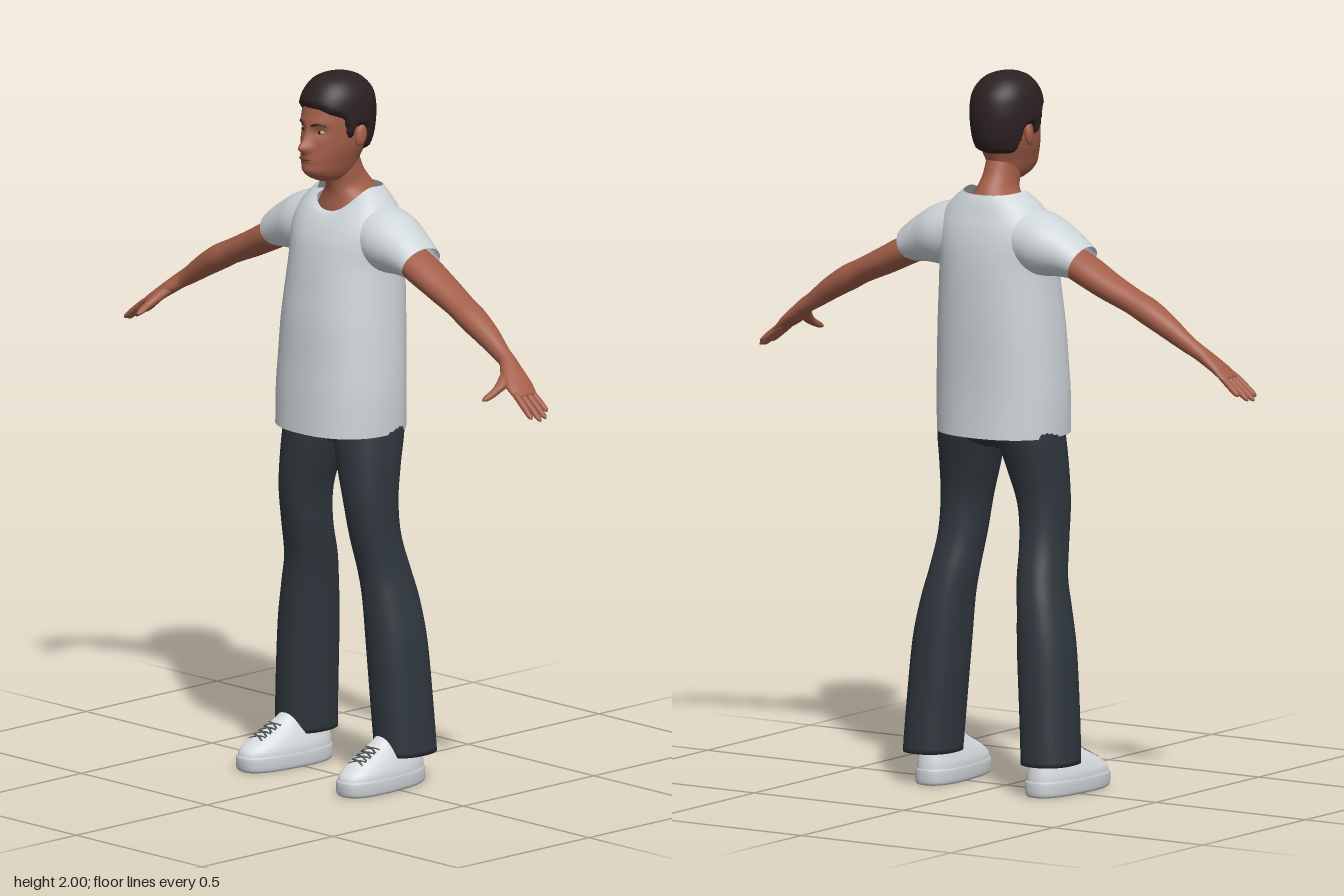
import * as THREE from 'three';

const paint = (name, color, side = THREE.FrontSide) => {
  const m = new THREE.MeshStandardMaterial({ color, side });
  m.name = name;
  return m;
};

// Catmull-Rom blend of numeric rows, so a few rows give a smooth profile
const blend = (p, q, r, s, t) => {
  const a = r - p, b = 2 * p - 5 * q + 4 * r - s, c = 3 * (q - r) + s - p;
  return q + 0.5 * t * (a + t * (b + t * c));
};
function smooth(rows, steps) {
  const out = [], last = rows.length - 1;
  for (let i = 0; i < last; i++) {
    const [p, q, r, s] = [i - 1, i, i + 1, i + 2].map(k => rows[Math.min(last, Math.max(0, k))]);
    for (let k = 0; k < steps; k++) out.push(q.map((v, c) => blend(p[c], v, r[c], s[c], k / steps)));
  }
  out.push(rows[last]);
  return out;
}

// Skin over closed rings; ring(row, cos, sin, index) returns a point
function loft(rows, n, e, ring, caps = true) {
  const pos = [], idx = [], pw = v => Math.sign(v) * Math.abs(v) ** (2 / e);
  rows.forEach((row, i) => {
    for (let j = 0; j < n; j++) {
      const t = (j / n) * Math.PI * 2;
      pos.push(...ring(row, pw(Math.cos(t)), pw(Math.sin(t)), i));
    }
  });
  for (let i = 0; i < rows.length - 1; i++) for (let j = 0; j < n; j++) {
    const a = i * n + j, b = i * n + (j + 1) % n;
    idx.push(a, a + n, b, b, a + n, b + n);
  }
  const cap = (start, top) => {
    const c = pos.length / 3, mid = [0, 0, 0];
    for (let j = 0; j < n * 3; j++) mid[j % 3] += pos[start * 3 + j] / n;
    pos.push(...mid);
    for (let j = 0; j < n; j++) {
      const a = start + j, b = start + (j + 1) % n;
      idx.push(c, top ? b : a, top ? a : b);
    }
  };
  if (caps) {
    cap(0, false);
    cap((rows.length - 1) * n, true);
  }
  const g = new THREE.BufferGeometry();
  g.setAttribute('position', new THREE.Float32BufferAttribute(pos, 3));
  g.setIndex(idx);
  g.computeVertexNormals();
  return g;
}

// Upright form from rows [y, centre x, half width, front z, back z]
const upright = (rows, n = 32, e = 2, steps = 5) =>
  loft(smooth(rows, steps), n, e, ([y, x, w, f, b], c, s) => [x + w * c, y, (f + b) / 2 + (f - b) / 2 * s]);

// Limb from rows [x, y, z, half height, half depth]
function limb(rows, n, caps = true) {
  const r = smooth(rows, 5), up = new THREE.Vector3(0, 1, 0);
  const at = k => new THREE.Vector3(...r[Math.max(0, Math.min(r.length - 1, k))].slice(0, 3));
  return loft(r, n, 2, (row, c, s, i) => {
    const T = at(i + 1).sub(at(i - 1)).normalize();
    const S = T.clone().cross(up).normalize(), N = S.clone().cross(T);
    return at(i).addScaledVector(N, row[3] * c).addScaledVector(S, -row[4] * s).toArray();
  }, caps);
}

function mirrored(g) {
  const m = g.clone().scale(-1, 1, 1), ix = m.index;
  for (let i = 0; i < ix.count; i += 3) {
    const a = ix.getX(i);
    ix.setX(i, ix.getX(i + 1));
    ix.setX(i + 1, a);
  }
  m.computeVertexNormals();
  return m;
}

const tube = (pts, r) => new THREE.TubeGeometry(new THREE.CatmullRomCurve3(pts.map(p => new THREE.Vector3(...p))), 12, r, 6);
const blob = (x, y, z, a, b, c) => new THREE.SphereGeometry(1, 20, 14).scale(a, b, c).translate(x, y, z);

export function createModel() {
  const model = new THREE.Group();
  const skin = paint('skin', 0xa35e49), hair = paint('hair', 0x2c2122), lip = paint('lips', 0x84453a);
  const cloth = paint('shirt cloth', 0xced5d9, THREE.DoubleSide), denim = paint('trouser cloth', 0x2f373d);
  const white = paint('shoe white', 0xd9dcde), sole = paint('sole', 0xcbd0d3), lace = paint('laces', 0x54585b);
  const eye = paint('eye white', 0xb5a49a), dark = paint('iris', 0x1f1817);
  const add = (name, g, m) => {
    const mesh = new THREE.Mesh(g, m);
    mesh.name = name;
    model.add(mesh);
  };
  const pair = (name, g, m) => {
    add('left' + name, g, m);
    add('right' + name, mirrored(g), m);
  };

  // Head, with the features pushed out or in by soft bumps [x, y, spread x, spread y, amount]
  const head = upright([
    [1.70, 0, 0.028, 0.07, -0.02], [1.715, 0, 0.042, 0.102, -0.045], [1.735, 0, 0.052, 0.12, -0.06],
    [1.76, 0, 0.06, 0.122, -0.07], [1.79, 0, 0.07, 0.12, -0.085], [1.82, 0, 0.076, 0.117, -0.098],
    [1.86, 0, 0.08, 0.114, -0.104], [1.90, 0, 0.081, 0.108, -0.104], [1.94, 0, 0.075, 0.094, -0.094],
    [1.97, 0, 0.055, 0.068, -0.066], [1.983, 0, 0.03, 0.04, -0.036], [1.987, 0, 0.006, 0.014, -0.004]], 96, 2.1, 6);
  const bumps = [[0, 1.803, 0.012, 0.013, 0.026], [0, 1.832, 0.009, 0.02, 0.011], [0, 1.772, 0.02, 0.009, 0.006],
    [0, 1.737, 0.018, 0.01, 0.004]];
  for (const s of [-1, 1]) bumps.push([s * 0.033, 1.848, 0.015, 0.01, -0.009], [s * 0.03, 1.872, 0.018, 0.009, 0.004],
    [s * 0.015, 1.8, 0.006, 0.007, 0.005]);
  const hp = head.attributes.position;
  for (let i = 0; i < hp.count; i++) {
    if (hp.getZ(i) < 0.04) continue;
    let z = hp.getZ(i);
    for (const [x, y, sx, sy, a] of bumps) {
      const dx = (hp.getX(i) - x) / sx, dy = (hp.getY(i) - y) / sy;
      z += a * Math.exp(-(dx * dx + dy * dy) / 2);
    }
    hp.setZ(i, z);
  }
  head.computeVertexNormals();
  add('head', head, skin);

  // Short hair: the head surface raised above the hairline [z, y] and sunk below it
  const line = [[-0.2, 1.775], [-0.045, 1.78], [-0.03, 1.85], [0.01, 1.86], [0.02, 1.825], [0.035, 1.83],
    [0.047, 1.885], [0.085, 1.9], [0.1, 1.912], [0.2, 1.92]];
  const cap = head.clone(), cp = cap.attributes.position, cn = cap.attributes.normal;
  for (let i = 0; i < cp.count; i++) {
    const z = cp.getZ(i), k = line.findIndex(p => p[0] > z), a = line[k - 1], b = line[k];
    const edge = a[1] + (b[1] - a[1]) * (z - a[0]) / (b[0] - a[0]);
    const d = 0.012 * THREE.MathUtils.clamp((cp.getY(i) - edge) / 0.014, -1, 1);
    cp.setXYZ(i, cp.getX(i) + cn.getX(i) * d, cp.getY(i) + cn.getY(i) * d, z + cn.getZ(i) * d);
  }
  cap.computeVertexNormals();
  add('hair', cap, hair);

  // Face details and ears
  pair('Eye', blob(0.033, 1.847, 0.095, 0.013, 0.0055, 0.007), eye);
  pair('Iris', blob(0.032, 1.847, 0.0995, 0.0055, 0.005, 0.004), dark);
  pair('Brow', tube([[0.014, 1.865, 0.115], [0.033, 1.871, 0.108], [0.052, 1.866, 0.092]], 0.0032), hair);
  add('lips', blob(0, 1.772, 0.125, 0.022, 0.006, 0.0065), lip);
  pair('Ear', blob(0, 0, 0, 0.011, 0.031, 0.018).rotateY(-0.25).rotateX(-0.15).translate(0.082, 1.83, -0.01), skin);

  // Neck widening into the upper chest
  add('neck', upright([[1.56, 0, 0.13, 0.035, -0.13], [1.61, 0, 0.105, 0.03, -0.13], [1.65, 0, 0.08, 0.024, -0.128],
    [1.68, 0, 0.053, 0.03, -0.115], [1.72, 0, 0.046, 0.045, -0.085], [1.78, 0, 0.046, 0.05, -0.06]]), skin);

  // Shirt body with a scooped collar: [y, half width, front, back, front drop]
  const body = smooth([[0.995, 0.186, 0.148, -0.172, 0], [1.1, 0.188, 0.143, -0.17, 0], [1.2, 0.184, 0.136, -0.172, 0],
    [1.3, 0.178, 0.13, -0.176, 0], [1.4, 0.17, 0.117, -0.178, 0], [1.47, 0.166, 0.106, -0.178, 0],
    [1.53, 0.17, 0.094, -0.174, 0.005], [1.58, 0.168, 0.08, -0.165, 0.02], [1.62, 0.15, 0.066, -0.153, 0.035],
    [1.655, 0.118, 0.052, -0.142, 0.052], [1.678, 0.09, 0.038, -0.132, 0.068]], 5);
  add('shirtBody', loft(body, 56, 2.3, ([y, w, f, b, d], c, s) =>
    [w * c, y - d * Math.max(0, s) ** 2 - d * 0.12 * Math.max(0, -s), (f + b) / 2 + (f - b) / 2 * s], false), cloth);
  pair('Sleeve', limb([[0.07, 1.56, -0.05, 0.085, 0.09], [0.16, 1.537, -0.05, 0.088, 0.096],
    [0.23, 1.517, -0.047, 0.069, 0.08], [0.285, 1.495, -0.045, 0.05, 0.068]], 32, false), cloth);

  // Arm running into the palm
  pair('Arm', limb([[0.22, 1.512, -0.045, 0.043, 0.055], [0.3, 1.475, -0.045, 0.042, 0.058],
    [0.37, 1.44, -0.045, 0.039, 0.052], [0.45, 1.403, -0.04, 0.035, 0.044], [0.5, 1.378, -0.036, 0.036, 0.044],
    [0.56, 1.343, -0.034, 0.032, 0.036], [0.62, 1.303, -0.03, 0.025, 0.025], [0.65, 1.285, -0.026, 0.022, 0.025],
    [0.68, 1.262, -0.014, 0.02, 0.034], [0.72, 1.232, -0.003, 0.016, 0.042], [0.752, 1.207, 0, 0.01, 0.039]], 28), skin);

  // Fingers [knuckle z, tip z, reach] and thumb
  const fingers = [[0.029, 0.036, 0.92], [0.01, 0.012, 1.05], [-0.01, -0.012, 1], [-0.028, -0.034, 0.78]];
  fingers.forEach(([z0, z1, k], i) => {
    const p = t => [0.738 + 0.078 * t * k, 1.218 - 0.062 * t * k, z0 + (z1 - z0) * t];
    pair('Finger' + (i + 1), limb([[...p(0), 0.009, 0.01], [...p(0.5), 0.009, 0.0095],
      [...p(0.88), 0.007, 0.008], [...p(1), 0.002, 0.003]], 12), skin);
  });
  pair('Thumb', limb([[0.665, 1.268, -0.012, 0.014, 0.014], [0.685, 1.242, 0.025, 0.014, 0.018], [0.69, 1.222, 0.06, 0.011, 0.012],
    [0.688, 1.208, 0.092, 0.008, 0.01], [0.686, 1.203, 0.106, 0.002, 0.003]], 14), skin);

  // Trousers: seat, and flared legs as [y, inner x, outer x, front z, back z]
  add('trouserSeat', upright([[0.955, 0, 0.07, 0.03, -0.07], [0.98, 0, 0.15, 0.066, -0.115],
    [1.03, 0, 0.18, 0.075, -0.127], [1.15, 0, 0.165, 0.08, -0.13]], 36, 2.4), denim);
  const legRows = [[0.09, 0.122, 0.272, 0.018, -0.16], [0.2, 0.115, 0.266, 0.024, -0.155], [0.4, 0.1, 0.25, 0.03, -0.145],
    [0.52, 0.093, 0.228, 0.033, -0.132], [0.6, 0.083, 0.21, 0.038, -0.115], [0.7, 0.074, 0.198, 0.06, -0.088],
    [0.8, 0.062, 0.195, 0.075, -0.082], [0.9, 0.034, 0.192, 0.078, -0.1], [1.0, 0.008, 0.186, 0.075, -0.125],
    [1.08, 0, 0.17, 0.07, -0.125]];
  pair('TrouserLeg', upright(legRows.map(([y, a, b, f, k]) => [y, (a + b) / 2, (b - a) / 2, f, k]), 36, 2.3), denim);

  // Shoes, turned out slightly
  const place = g => g.rotateY(0.07).translate(0.19, 0, 0);
  pair('ShoeSole', place(upright([[0, 0, 0.058, 0.168, -0.132], [0.008, 0, 0.064, 0.176, -0.138],
    [0.038, 0, 0.064, 0.178, -0.138], [0.045, 0, 0.06, 0.172, -0.135]], 40, 2.6, 3)), sole);
  pair('ShoeUpper', place(upright([[0.04, 0, 0.062, 0.174, -0.135], [0.06, 0, 0.061, 0.166, -0.134],
    [0.085, 0, 0.054, 0.13, -0.13], [0.11, 0, 0.045, 0.078, -0.125], [0.13, 0, 0.038, 0.045, -0.115],
    [0.147, 0, 0.03, 0.02, -0.1]], 40, 2.5)), white);

  // Crossed laces over the instep
  const instep = z => 0.148 - 0.49 * z;
  for (let i = 0; i < 4; i++) for (const s of [-1, 1]) {
    const z = 0.052 + i * 0.018;
    const path = [[-0.026 * s, instep(z) - 0.004, z], [0, instep(z + 0.008) + 0.002, z + 0.008],
      [0.026 * s, instep(z + 0.016) - 0.004, z + 0.016]];
    pair('Lace' + (i * 2 + (s + 3) / 2), place(tube(path, 0.0028)), lace);
  }
  return model;
}
